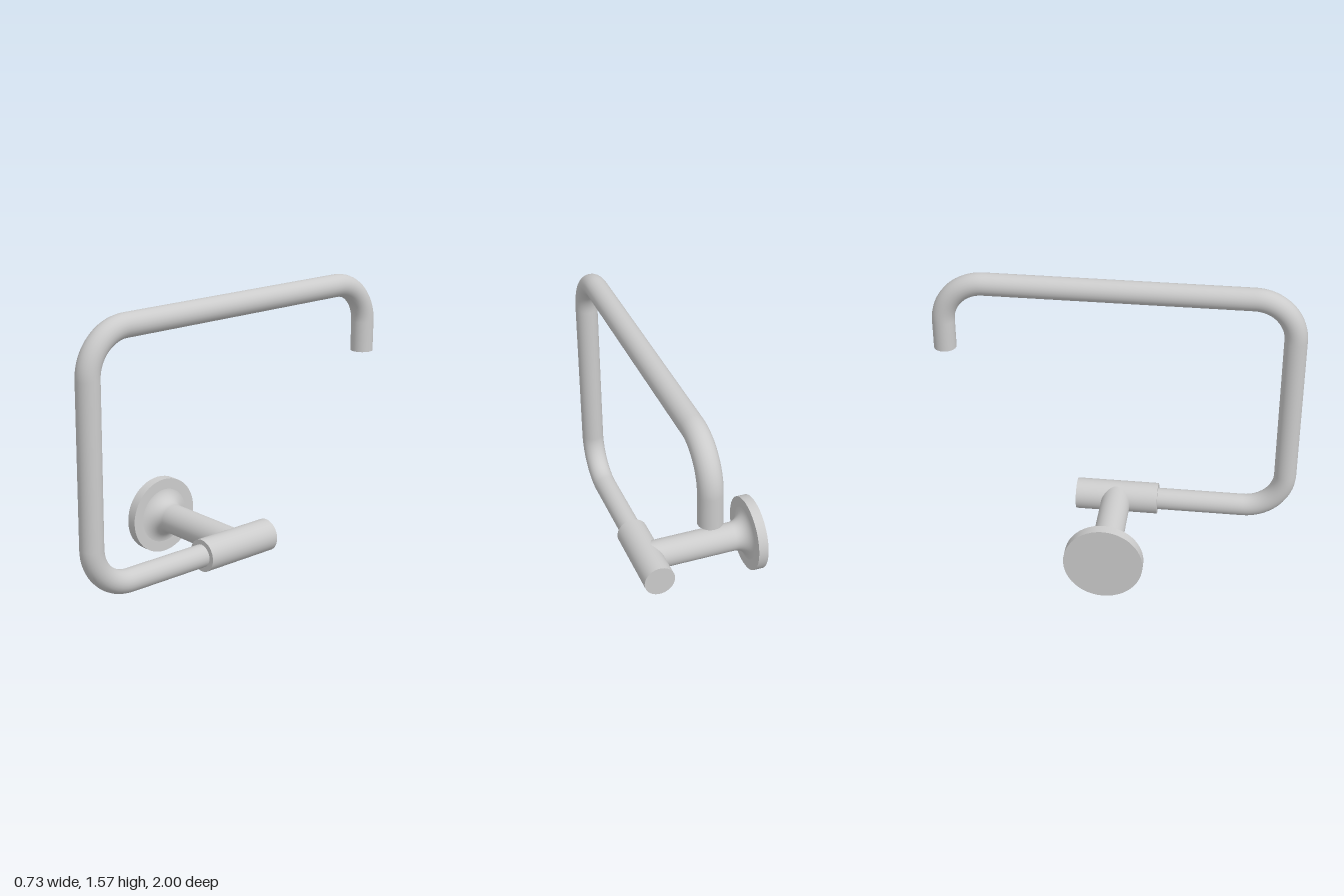
import * as THREE from 'three';

const AXIS_Y = 0.217, BAR_X = 0.273;
const material = new THREE.MeshStandardMaterial({ color: 0xcccccc });

function addMesh(group, name, geometry) {
  const mesh = new THREE.Mesh(geometry, material);
  mesh.name = name;
  group.add(mesh);
  return mesh;
}

// Path through corner points, each inner corner rounded by a circular fillet
function roundedPath(points, radius) {
  const path = new THREE.CurvePath();
  let from = points[0];
  for (let i = 1; i < points.length - 1; i++) {
    const corner = points[i];
    const toward = (p, d) => corner.clone().add(p.clone().sub(corner).setLength(d));
    const a = toward(points[i - 1], radius), b = toward(points[i + 1], radius);
    const k = radius * 0.4477; // circular arc handles
    path.add(new THREE.LineCurve3(from, a));
    path.add(new THREE.CubicBezierCurve3(a, toward(points[i - 1], k), toward(points[i + 1], k), b));
    from = b;
  }
  path.add(new THREE.LineCurve3(from, points[points.length - 1]));
  return path;
}

export function createModel() {
  const group = new THREE.Group();
  group.name = 'wallMountedHolder';

  // Round plate against the wall
  const plate = addMesh(group, 'wallPlate', new THREE.CylinderGeometry(0.213, 0.213, 0.056, 48));
  plate.rotation.z = -Math.PI / 2;
  plate.position.set(-0.339, AXIS_Y, 0);

  // Post with a concave flare where it meets the plate
  const profile = [];
  for (let i = 0; i <= 10; i++) {
    const t = (i / 10) * Math.PI / 2;
    profile.push(new THREE.Vector2(0.166 - 0.084 * Math.sin(t), -0.312 + 0.08 * (1 - Math.cos(t))));
  }
  profile.push(new THREE.Vector2(0.082, BAR_X - 0.02));
  const post = addMesh(group, 'post', new THREE.LatheGeometry(profile, 40));
  post.rotation.z = -Math.PI / 2;
  post.position.y = AXIS_Y;

  // Sleeve across the end of the post, gripping the bar
  const sleeve = addMesh(group, 'sleeve', new THREE.CylinderGeometry(0.087, 0.087, 0.46, 40));
  sleeve.rotation.x = Math.PI / 2;
  sleeve.position.set(BAR_X + 0.001, AXIS_Y, 0.004);

  // Bent bar: out of the sleeve, up, back and down to the open hook end
  const corners = [[AXIS_Y, 0.1], [AXIS_Y, 0.939], [1.513, 0.939], [1.513, -0.939], [1.125, -0.939]]
    .map(([y, z]) => new THREE.Vector3(BAR_X, y, z));
  addMesh(group, 'bar', new THREE.TubeGeometry(roundedPath(corners, 0.225), 200, 0.061, 24));

  // Flat cap on the hook end
  const cap = addMesh(group, 'barEndCap', new THREE.CircleGeometry(0.061, 24));
  cap.rotation.x = Math.PI / 2;
  cap.position.copy(corners[4]);

  return group;
}
